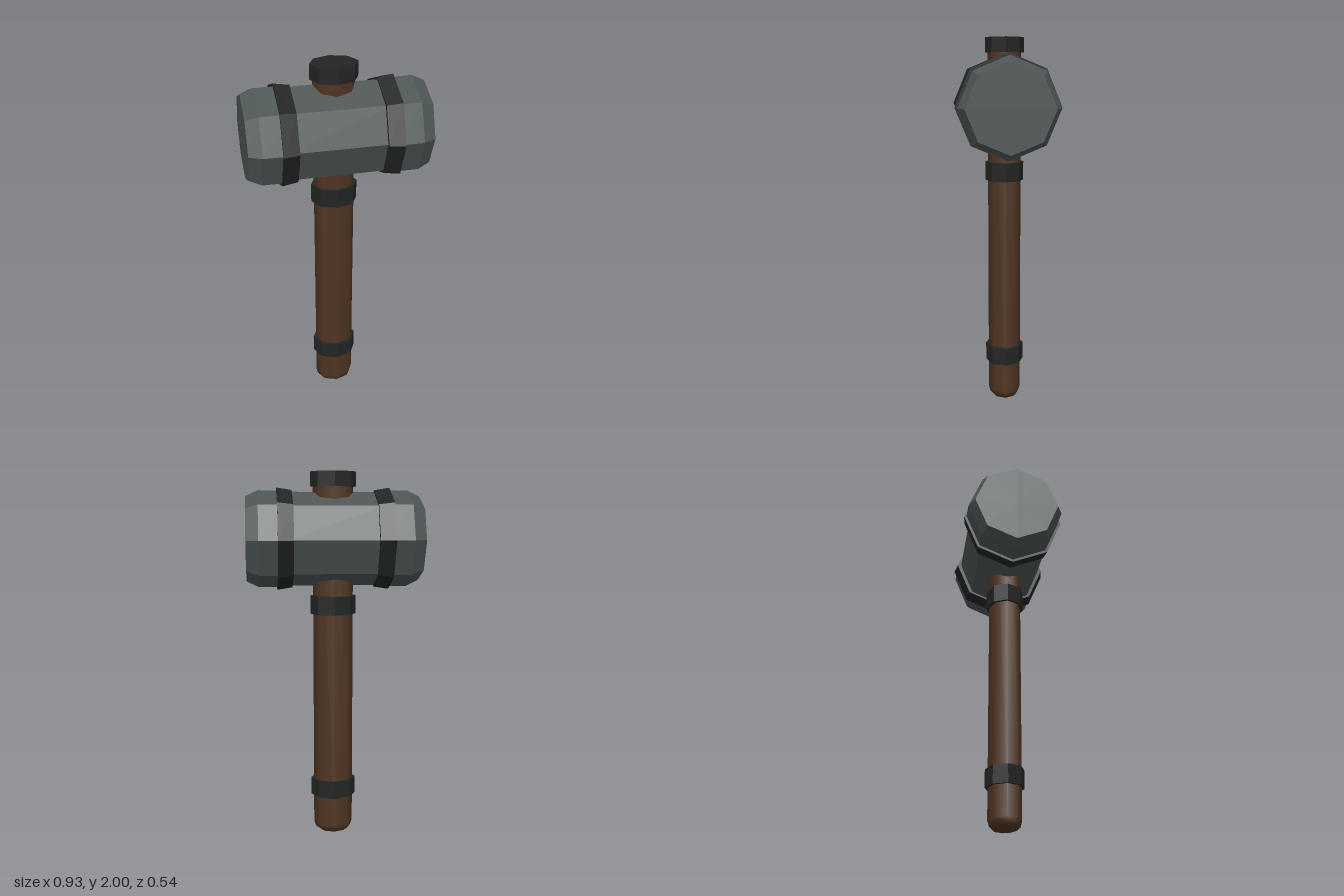
import * as THREE from 'three';

const iron = new THREE.MeshStandardMaterial({ color: 0x232424 });
const steel = new THREE.MeshStandardMaterial({ color: 0x4d5554 });
const wood = new THREE.MeshStandardMaterial({ color: 0x4f3422 });
iron.name = 'darkIron';
steel.name = 'greySteel';
wood.name = 'brownWood';

// Eight-sided turned solid from [radius, height] pairs, listed bottom to top
function turned(points, smooth = false) {
  const lathe = new THREE.LatheGeometry(points.map(([r, y]) => new THREE.Vector2(r, y)), 8);
  if (smooth) return lathe;
  const flat = lathe.toNonIndexed();
  flat.computeVertexNormals();
  return flat;
}

function add(parent, name, geometry, material) {
  const mesh = new THREE.Mesh(geometry, material);
  mesh.name = name;
  parent.add(mesh);
  return mesh;
}

export function createModel() {
  const model = new THREE.Group();
  model.name = 'warHammer';

  // Oval wooden shaft with a rounded butt
  const shaft = add(model, 'shaft', turned([
    [0, 0], [0.075, 0.004], [0.098, 0.02], [0.108, 0.05], [0.108, 1.94], [0, 1.94],
  ], true), wood);
  shaft.scale.z = 0.82;

  // Iron collars and top cap
  const collars = [['buttCollar', 0.215, 0.312], ['neckCollar', 1.245, 1.345], ['topCap', 1.922, 2]];
  for (const [name, low, high] of collars) {
    const collar = add(model, name, turned([[0, low], [0.123, low], [0.123, high], [0, high]]), iron);
    collar.scale.z = 0.84;
  }

  // Head lies along x
  const head = new THREE.Group();
  head.name = 'head';
  head.position.y = 1.647;
  model.add(head);

  const core = add(head, 'headCore', turned([[0.236, -0.26], [0.236, 0.26]]), steel);
  core.rotation.z = -Math.PI / 2;
  core.scale.x = 1.05;

  // Mirrored striking ends and tapered bands
  for (const side of [1, -1]) {
    const name = side > 0 ? 'left' : 'right';
    const end = add(head, name + 'StrikingEnd', turned([
      [0, 0.25], [0.255, 0.25], [0.255, 0.4], [0.224, 0.465], [0, 0.465],
    ]), steel);
    const band = add(head, name + 'Band', turned([
      [0.2, 0.22], [0.257, 0.22], [0.27, 0.302], [0.2, 0.302],
    ]), iron);
    end.rotation.z = band.rotation.z = -side * Math.PI / 2;
  }
  return model;
}
